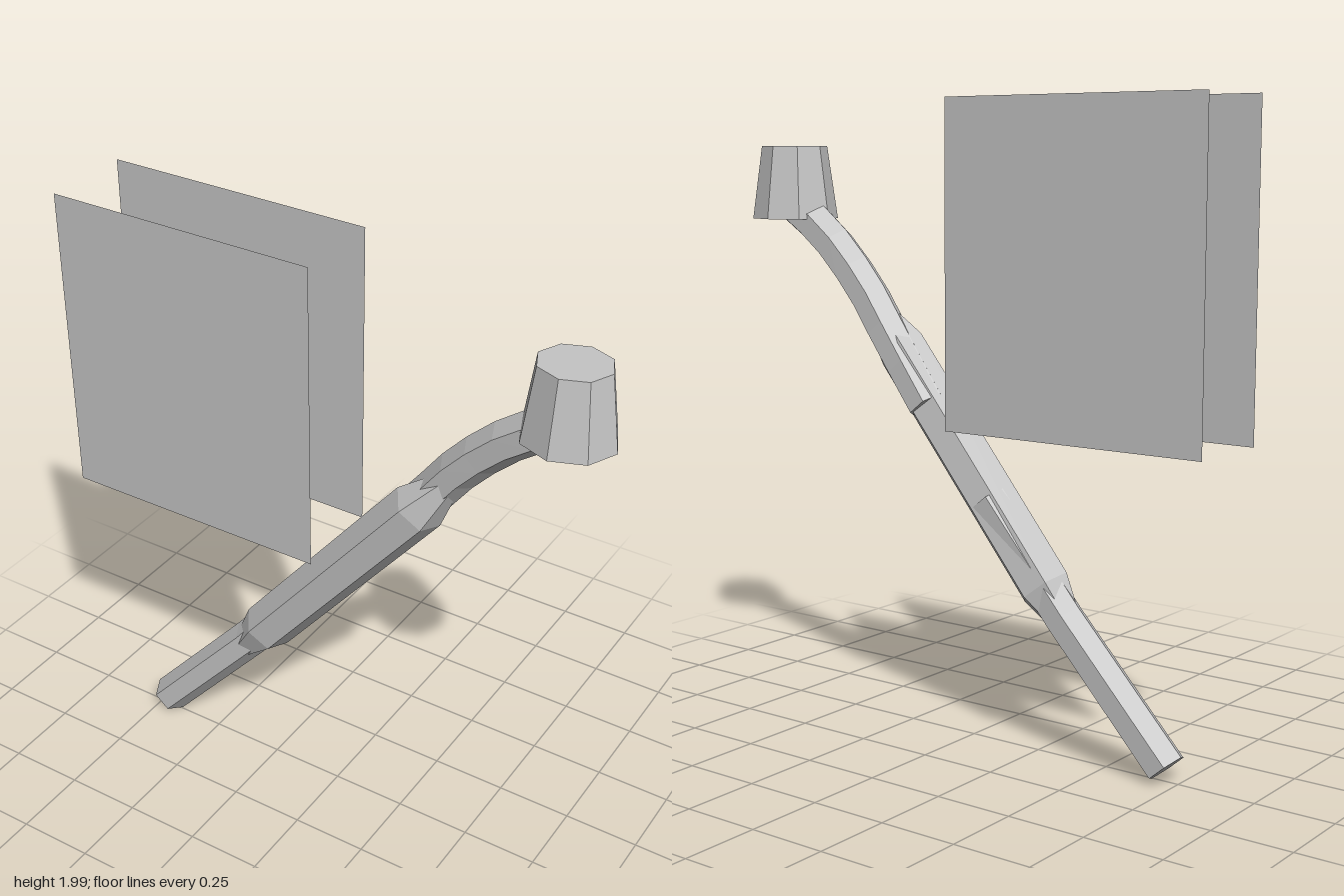
import * as THREE from 'three';

const SIDES = 6;

// Hexagonal bar swept through stations [x, y, z, radius]; twist turns the corners about the axis.
function hexBar(stations, twist = 0) {
  const pos = [], idx = [];
  const last = stations.length - 1;
  stations.forEach(([x, y, z, r], i) => {
    const a = stations[Math.max(i - 1, 0)], b = stations[Math.min(i + 1, last)];
    const len = Math.hypot(b[0] - a[0], b[1] - a[1]);
    const ux = -(b[1] - a[1]) / len, uy = (b[0] - a[0]) / len;
    for (let k = 0; k < SIDES; k++) {
      const t = twist + (k / SIDES) * Math.PI * 2;
      const c = r * Math.cos(t);
      pos.push(x + ux * c, y + uy * c, z + r * Math.sin(t));
    }
  });
  for (let i = 0; i < last; i++) {
    for (let k = 0; k < SIDES; k++) {
      const a = i * SIDES + k, b = i * SIDES + (k + 1) % SIDES;
      idx.push(a, b, b + SIDES, a, b + SIDES, a + SIDES);
    }
  }
  const e = last * SIDES;
  for (let k = 1; k < SIDES - 1; k++) {
    idx.push(0, k + 1, k, e, e + k, e + k + 1);
  }
  const g = new THREE.BufferGeometry();
  g.setAttribute('position', new THREE.Float32BufferAttribute(pos, 3));
  g.setIndex(idx);
  const flat = g.toNonIndexed();
  flat.computeVertexNormals();
  return flat;
}

export function createModel() {
  const model = new THREE.Group();
  const grey = new THREE.MeshStandardMaterial({ color: 0xc4c4c4, flatShading: true, side: THREE.DoubleSide });
  grey.name = 'plain grey';

  const add = (name, geometry) => {
    const mesh = new THREE.Mesh(geometry, grey);
    mesh.name = name;
    model.add(mesh);
    return mesh;
  };

  // Lower shaft, running into the back of the grip
  add('lowerShaft', hexBar([
    [-0.712, 0.05, -0.004, 0.065],
    [-0.36, 0.45, -0.023, 0.064],
    [-0.09, 0.785, -0.04, 0.064],
  ]));

  // Thick grip with tapered ends
  add('grip', hexBar([
    [-0.375, 0.42, -0.015, 0.045],
    [-0.285, 0.533, -0.016, 0.086],
    [0.275, 1.223, -0.016, 0.086],
    [0.372, 1.343, -0.014, 0.04],
  ], THREE.MathUtils.degToRad(10)));

  // Curved neck rising from the grip into the head
  add('neck', hexBar([
    [0.14, 1.06, -0.055, 0.064],
    [0.235, 1.18, -0.046, 0.065],
    [0.325, 1.295, -0.036, 0.066],
    [0.39, 1.382, -0.03, 0.066],
    [0.465, 1.465, -0.024, 0.066],
    [0.55, 1.545, -0.017, 0.066],
    [0.64, 1.612, -0.011, 0.066],
    [0.73, 1.668, -0.006, 0.066],
  ]));

  // Eight-sided tapered head
  const head = add('head', new THREE.CylinderGeometry(0.111, 0.145, 0.235, 8));
  head.scale.z = 0.915;
  head.position.set(0.74, 1.743, 0);

  // Pair of flat upright panels
  for (const [name, z] of [['frontPanel', 0.148], ['backPanel', -0.148]]) {
    add(name, new THREE.PlaneGeometry(0.89, 0.998)).position.set(-0.447, 1.501, z);
  }

  return model;
}
